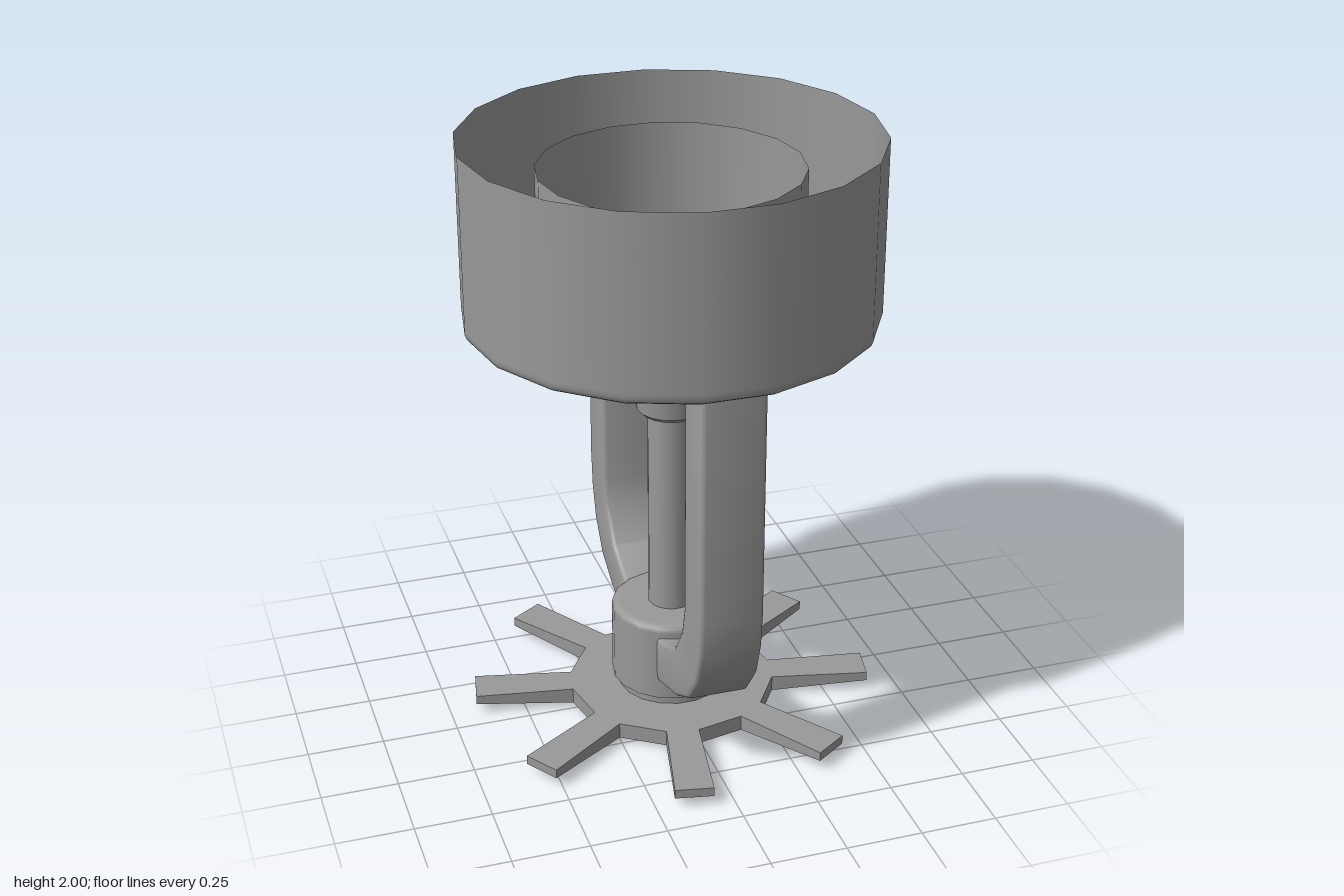
import * as THREE from 'three';
import { mergeGeometries, toCreasedNormals } from 'three/addons/utils/BufferGeometryUtils.js';

const material = new THREE.MeshStandardMaterial({ color: 0x999999, side: THREE.DoubleSide });

function addMesh(group, name, geometry) {
  const mesh = new THREE.Mesh(geometry, material);
  mesh.name = name;
  group.add(mesh);
  return mesh;
}

// Turned part from runs of [radius, height] pairs, bottom to top; edges between runs stay sharp
function turned(group, name, ...runs) {
  const pieces = runs.map((run) => new THREE.LatheGeometry(
    run.map(([r, y]) => new THREE.Vector2(r, y)), 18, Math.PI / 2));
  return addMesh(group, name, mergeGeometries(pieces));
}

// Star plate: disc with eight teeth, flat on top and thinning outward underneath
function deflectorGeometry() {
  const shape = new THREE.Shape();
  const teeth = 8, root = 0.34, tip = 0.667, top = 0.066;
  for (let i = 0; i < teeth; i++) {
    const a = (i * Math.PI * 2) / teeth + 0.197;
    const c = Math.cos(a), s = Math.sin(a);
    for (const [r, w] of [[root, -0.054], [tip, -0.063], [tip, 0.063], [root, 0.054]]) {
      const x = r * c - w * s, y = r * s + w * c;
      if (i === 0 && w === -0.054) shape.moveTo(x, y);
      else shape.lineTo(x, y);
    }
  }
  shape.closePath();
  const geometry = new THREE.ExtrudeGeometry(shape, { depth: 1, bevelEnabled: false });
  geometry.rotateX(Math.PI / 2);
  const p = geometry.attributes.position;
  for (let i = 0; i < p.count; i++) {
    const r = Math.hypot(p.getX(i), p.getZ(i));
    p.setY(i, p.getY(i) > -0.5 ? top : 0.012 + 0.07 * (r - root));
  }
  return toCreasedNormals(geometry, 0.3);
}

// Curved frame arm: side outline extruded across x with softened edges
function armGeometry() {
  const bevel = 0.015;
  const outline = [
    [0.62, 1.4], [0.62, 0.64], [0.608, 0.52], [0.57, 0.4], [0.49, 0.295], [0.37, 0.23], [0.19, 0.17], [0.12, 0.17],
    [0.12, 0.34], [0.19, 0.33], [0.35, 0.4], [0.425, 0.51], [0.45, 0.61], [0.45, 1.4],
  ];
  const shape = new THREE.Shape(outline.map(([z, y]) => new THREE.Vector2(z, y)));
  const geometry = new THREE.ExtrudeGeometry(shape, {
    depth: 0.206 - 2 * bevel, bevelThickness: bevel, bevelSize: bevel, bevelOffset: -bevel, bevelSegments: 3,
  });
  geometry.translate(0, 0, -0.103 + bevel);
  geometry.rotateY(-Math.PI / 2);
  return toCreasedNormals(geometry, 0.6);
}

export function createModel() {
  const model = new THREE.Group();
  model.name = 'sprinklerHead';

  // Thin-walled outer cup with an open top and a hole in its floor
  turned(model, 'outerCup', [
    [0.365, 1.4], [0.63, 1.4], [0.645, 1.402], [0.658, 1.41], [0.664, 1.425], [0.664, 1.44], [0.664, 2],
  ]);

  // Inner sleeve with its chamfered base, and the nozzle
  turned(model, 'innerSleeve',
    [[0.29, 1.3], [0.3, 1.288]], [[0.3, 1.288], [0.42, 1.33]], [[0.42, 1.33], [0.42, 1.9]]);
  turned(model, 'nozzle',
    [[0, 1.075], [0.1, 1.075]],
    [[0.1, 1.075], [0.114, 1.09]],
    [[0, 1.09], [0.114, 1.09]],
    [[0.114, 1.09], [0.13, 1.25], [0.136, 1.278], [0.155, 1.29], [0.29, 1.3]]);

  // Central rod, hub and collar
  turned(model, 'rod', [[0.077, 0.35], [0.077, 1.08]]);
  turned(model, 'hub',
    [[0, 0.1], [0.2, 0.1]],
    [[0.2, 0.1], [0.2, 0.35], [0.197, 0.365], [0.185, 0.373], [0.17, 0.373], [0, 0.373]]);
  turned(model, 'collar', [[0.18, 0.06], [0.18, 0.1]]);

  // Toothed deflector with a shallow boss underneath
  addMesh(model, 'deflector', deflectorGeometry());
  turned(model, 'deflectorBoss', [[0, 0], [0.22, 0], [0.335, 0.012]]);

  // Front and back arms
  addMesh(model, 'frontArm', armGeometry());
  addMesh(model, 'backArm', armGeometry()).rotation.y = Math.PI;

  return model;
}
